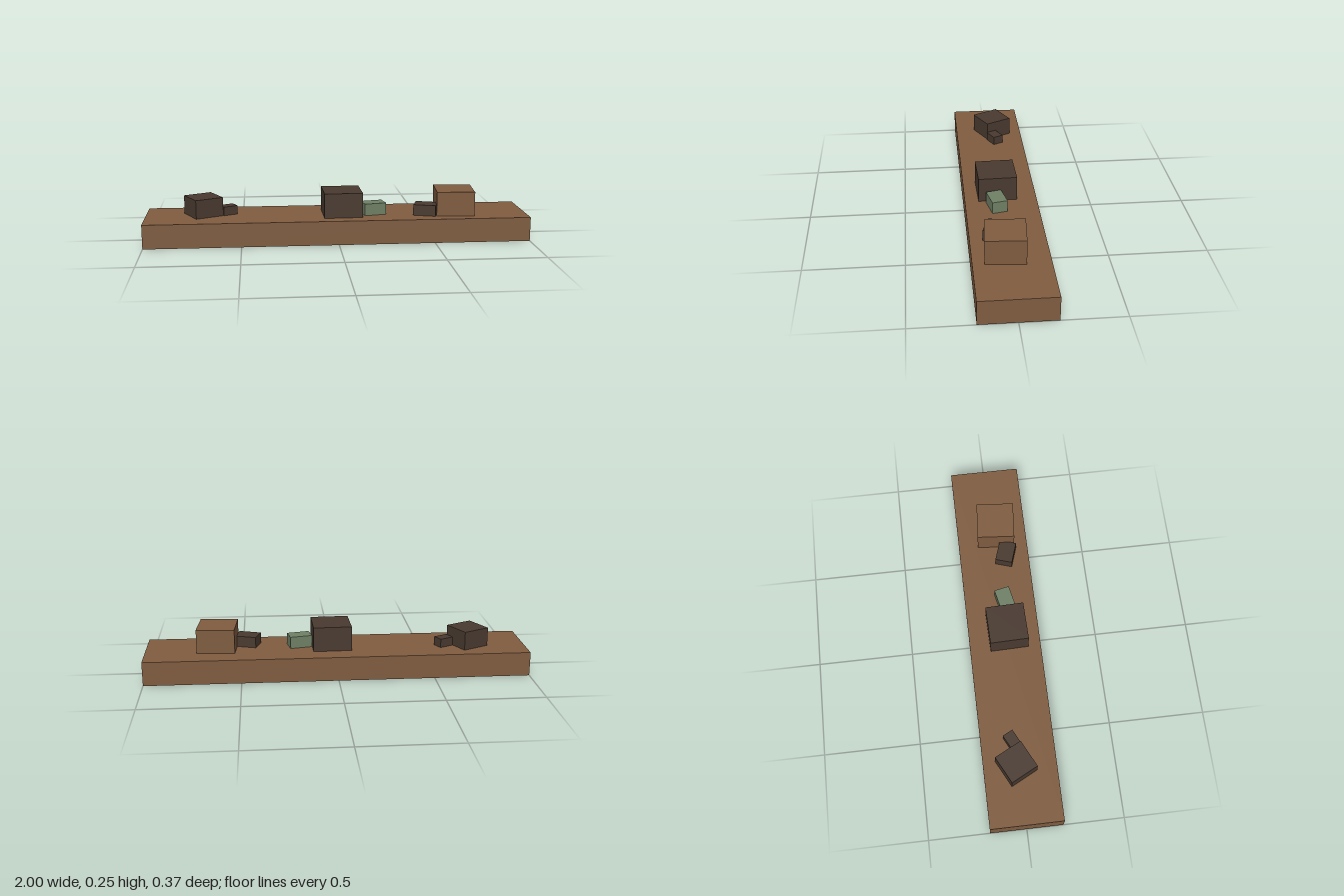
import * as THREE from 'three';

const material = (name, color) => {
  const m = new THREE.MeshStandardMaterial({ color, side: THREE.DoubleSide });
  m.name = name;
  return m;
};

// Box standing on y = 0 with its underside left open
function openBox(w, h, d) {
  const g = new THREE.BoxGeometry(w, h, d).translate(0, h / 2, 0);
  const index = Array.from(g.index.array);
  index.splice(18, 6); // drop the bottom face
  g.setIndex(index);
  g.clearGroups();
  return g;
}

export function createModel() {
  const model = new THREE.Group();
  model.name = 'plankWithBlocks';
  const wood = material('woodBrown', 0x7f5c40);
  const dark = material('darkBrown', 0x493a30);
  const sage = material('sageGreen', 0x6f8066);

  const baseHeight = 0.126;
  const add = (name, mat, [w, h, d], [x, y, z], degrees = 0) => {
    const mesh = new THREE.Mesh(openBox(w, h, d), mat);
    mesh.name = name;
    mesh.position.set(x, y, z);
    mesh.rotation.y = THREE.MathUtils.degToRad(degrees);
    model.add(mesh);
  };

  // Hollow base plank
  add('base', wood, [2, baseHeight, 0.374], [0, 0, 0]);

  // Three large blocks, each with a small one at its side: size, x, z, turn
  const blocks = [
    ['leftLargeBlock', wood, [0.198, 0.127, 0.198], 0.624, 0.024, -4.5],
    ['leftSmallBlock', dark, [0.117, 0.057, 0.09], 0.467, 0.063, -18],
    ['middleLargeBlock', dark, [0.2, 0.129, 0.2], 0.027, 0.018, 1.5],
    ['middleSmallBlock', sage, [0.117, 0.062, 0.08], 0.193, 0.027, 12],
    ['rightLargeBlock', dark, [0.153, 0.098, 0.153], -0.698, -0.02, 27],
    ['rightSmallBlock', dark, [0.078, 0.046, 0.058], -0.569, -0.027, 27],
  ];
  for (const [name, mat, size, x, z, turn] of blocks) add(name, mat, size, [x, baseHeight, z], turn);

  return model;
}
